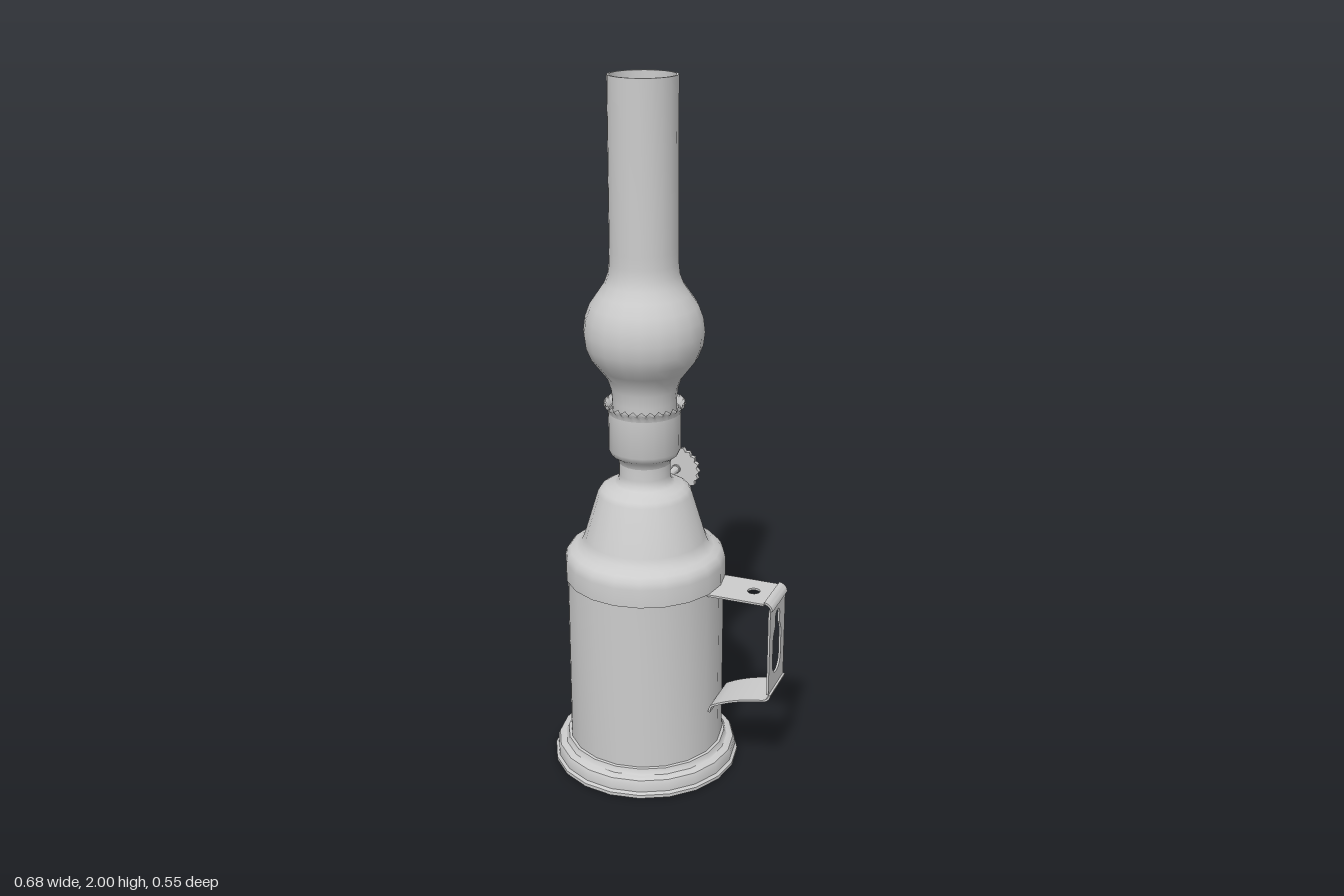
import * as THREE from 'three';
import { toCreasedNormals } from 'three/addons/utils/BufferGeometryUtils.js';

const material = new THREE.MeshStandardMaterial({ color: 0xcccccc, side: THREE.DoubleSide });
const AXIS_X = -0.065; // the lamp body stands off-centre because of the handle
const SIDES = 20;

function addMesh(parent, name, geometry, crease = 0.6) {
  const mesh = new THREE.Mesh(toCreasedNormals(geometry, crease), material);
  mesh.name = name;
  parent.add(mesh);
  return mesh;
}

// Turned part from [radius, height] pairs
function lathe(profile, sides = SIDES) {
  return new THREE.LatheGeometry(profile.map(([r, y]) => new THREE.Vector2(r, y)), sides);
}

// Flat plate with holes, extruded along +z
function plate(shape, depth) {
  return new THREE.ExtrudeGeometry(shape, { depth, bevelEnabled: false, curveSegments: 8 });
}

// Bent sheet strip: a path in xy thickened inwards, as wide as `width` along z
function strip(path, thickness, width) {
  const inner = path.map((p, i) => {
    const a = path[Math.max(i - 1, 0)], b = path[Math.min(i + 1, path.length - 1)];
    const t = b.clone().sub(a).normalize();
    return new THREE.Vector2(p.x + t.y * thickness, p.y - t.x * thickness);
  });
  const geometry = plate(new THREE.Shape([...path, ...inner.reverse()]), width);
  return geometry.translate(0, 0, -width / 2);
}

function rectangle(x0, y0, x1, y1) {
  return new THREE.Shape([[x0, y0], [x1, y0], [x1, y1], [x0, y1]].map(p => new THREE.Vector2(...p)));
}

function createHandle() {
  const handle = new THREE.Group();
  handle.name = 'handle';
  const W = 0.14, T = 0.006, top = 0.588, outer = 0.337, R = 0.02;

  // Top plate with a round hole
  const topShape = rectangle(0.15, -W / 2, outer - R, W / 2);
  topShape.holes.push(new THREE.Path().absarc(0.265, 0, 0.018, 0, Math.PI * 2, true));
  const topPlate = plate(topShape, T).rotateX(-Math.PI / 2).translate(0, top - T, 0);
  addMesh(handle, 'handleTop', topPlate);

  // Upright plate with a keyhole for hanging
  const gripShape = rectangle(-W / 2, 0.305, W / 2, top - R);
  const keyhole = new THREE.Path();
  keyhole.moveTo(0.037, 0.385);
  keyhole.lineTo(0.037, 0.455);
  keyhole.quadraticCurveTo(0.036, 0.48, 0.02, 0.495);
  keyhole.lineTo(0.02, 0.525);
  keyhole.absarc(0, 0.525, 0.02, 0, Math.PI, false);
  keyhole.lineTo(-0.02, 0.495);
  keyhole.quadraticCurveTo(-0.036, 0.48, -0.037, 0.455);
  keyhole.lineTo(-0.037, 0.385);
  keyhole.absarc(0, 0.385, 0.037, Math.PI, Math.PI * 2, false);
  gripShape.holes.push(keyhole);
  const grip = plate(gripShape, T).rotateY(Math.PI / 2).translate(outer - T, 0, 0);
  addMesh(handle, 'handleGrip', grip);

  // Rounded upper bend
  const bend = [];
  for (let i = 0; i <= 5; i++) {
    const a = Math.PI / 2 * (1 - i / 5);
    bend.push(new THREE.Vector2(outer - R + R * Math.cos(a), top - R + R * Math.sin(a)));
  }
  addMesh(handle, 'handleBend', strip(bend, -T, W).scale(1, 1, 1));

  // Lower arm curving back to the body, with a small foot
  const arm = new THREE.Path();
  arm.moveTo(outer, 0.305);
  arm.quadraticCurveTo(outer, 0.287, outer - 0.025, 0.284);
  arm.quadraticCurveTo(0.23, 0.272, 0.168, 0.238);
  arm.quadraticCurveTo(0.157, 0.232, 0.157, 0.212);
  addMesh(handle, 'handleArm', strip(arm.getPoints(6), -T, W));
  return handle;
}

function createWickKnob() {
  const knob = new THREE.Group();
  knob.name = 'wickKnob';
  // Scalloped wheel
  const teeth = 20, outline = [];
  for (let i = 0; i < teeth * 4; i++) {
    const a = i / (teeth * 4) * Math.PI * 2;
    const r = 0.069 + 0.004 * Math.cos(a * teeth);
    outline.push(new THREE.Vector2(r * Math.cos(a), r * Math.sin(a)));
  }
  const rim = new THREE.Shape(outline);
  rim.holes.push(new THREE.Path().absarc(0, 0, 0.055, 0, Math.PI * 2, true));
  addMesh(knob, 'knobRim', plate(rim, 0.015).translate(0, 0, -0.258));
  const disc = new THREE.CylinderGeometry(0.056, 0.056, 0.008, 24).rotateX(Math.PI / 2);
  addMesh(knob, 'knobDisc', disc.translate(0, 0, -0.25));
  // Hub and spindle
  const hub = new THREE.CylinderGeometry(0.014, 0.014, 0.022, 12).rotateX(Math.PI / 2);
  addMesh(knob, 'knobHub', hub.translate(0, 0, -0.251));
  const stem = new THREE.CylinderGeometry(0.011, 0.011, 0.16, 12).rotateX(Math.PI / 2);
  addMesh(knob, 'knobSpindle', stem.translate(0, 0, -0.17), 0.9);
  knob.position.set(AXIS_X, 0.82, 0);
  return knob;
}

export function createModel() {
  const model = new THREE.Group();
  model.name = 'oilLamp';
  const lamp = new THREE.Group();
  lamp.name = 'lampBody';
  lamp.position.x = AXIS_X;
  model.add(lamp);

  // Stepped foot
  addMesh(lamp, 'foot', lathe([
    [0, 0.004], [0.266, 0.004], [0.268, 0], [0.274, 0.004], [0.274, 0.014], [0.266, 0.02],
    [0.266, 0.044], [0.261, 0.054], [0.252, 0.058], [0.242, 0.06], [0.237, 0.066],
    [0.234, 0.076], [0.222, 0.078],
  ]));

  // Straight fuel tank
  addMesh(lamp, 'tank', lathe([[0.226, 0.07], [0.226, 0.59]]));

  // Shoulder cap, cone and neck
  addMesh(lamp, 'shoulder', lathe([
    [0.224, 0.589], [0.231, 0.589], [0.231, 0.642], [0.227, 0.66], [0.216, 0.673], [0.198, 0.68],
    [0.183, 0.69], [0.174, 0.71], [0.134, 0.843], [0.126, 0.856], [0.11, 0.865],
    [0.085, 0.873], [0.075, 0.884], [0.073, 0.9], [0.073, 0.945],
  ]), 0.75);

  // Burner cup with its inner floor
  addMesh(lamp, 'burnerCup', lathe([
    [0.073, 0.935], [0.078, 0.95], [0.095, 0.962], [0.102, 0.978], [0.102, 1.09],
    [0.098, 1.09], [0.098, 0.985], [0.045, 0.975],
  ]), 0.75);

  // Crimped rim around the cup
  const crimp = lathe([[0.102, 1.085], [0.105, 1.098], [0.112, 1.108], [0.113, 1.117]], 120);
  const p = crimp.attributes.position;
  for (let i = 0; i < p.count; i++) {
    const x = p.getX(i), y = p.getY(i), z = p.getZ(i);
    const lift = Math.max(0, (y - 1.09) / 0.027);
    const wave = Math.cos(Math.atan2(x, z) * 30) * lift;
    const s = 1 + 0.02 * wave;
    p.setXYZ(i, x * s, y - 0.004 * lift * (1 + wave), z * s);
  }
  addMesh(lamp, 'crimpedRim', crimp);

  // Wick tube with a rolled lip
  addMesh(lamp, 'wickTube', lathe([
    [0.05, 0.97], [0.046, 1.0], [0.046, 1.07], [0.032, 1.07], [0.032, 1.0], [0, 1.0],
  ]));
  const lip = new THREE.TorusGeometry(0.04, 0.01, 8, SIDES).rotateX(Math.PI / 2);
  addMesh(lamp, 'wickTubeLip', lip.translate(0, 1.07, 0), 1);

  // Glass chimney: outer wall up, inner wall down
  const glass = [
    [0.09, 1.03], [0.09, 1.12], [0.094, 1.155], [0.104, 1.185], [0.125, 1.212], [0.148, 1.242],
    [0.162, 1.276], [0.167, 1.315], [0.162, 1.355], [0.149, 1.39], [0.127, 1.422],
    [0.108, 1.45], [0.098, 1.477], [0.095, 1.505], [0.094, 1.54], [0.094, 2],
  ];
  const inside = glass.map(([r, y]) => [r - 0.006, y]).reverse();
  addMesh(lamp, 'chimney', lathe([...glass, ...inside, glass[0]]), 0.75);

  model.add(createHandle(), createWickKnob());
  return model;
}
